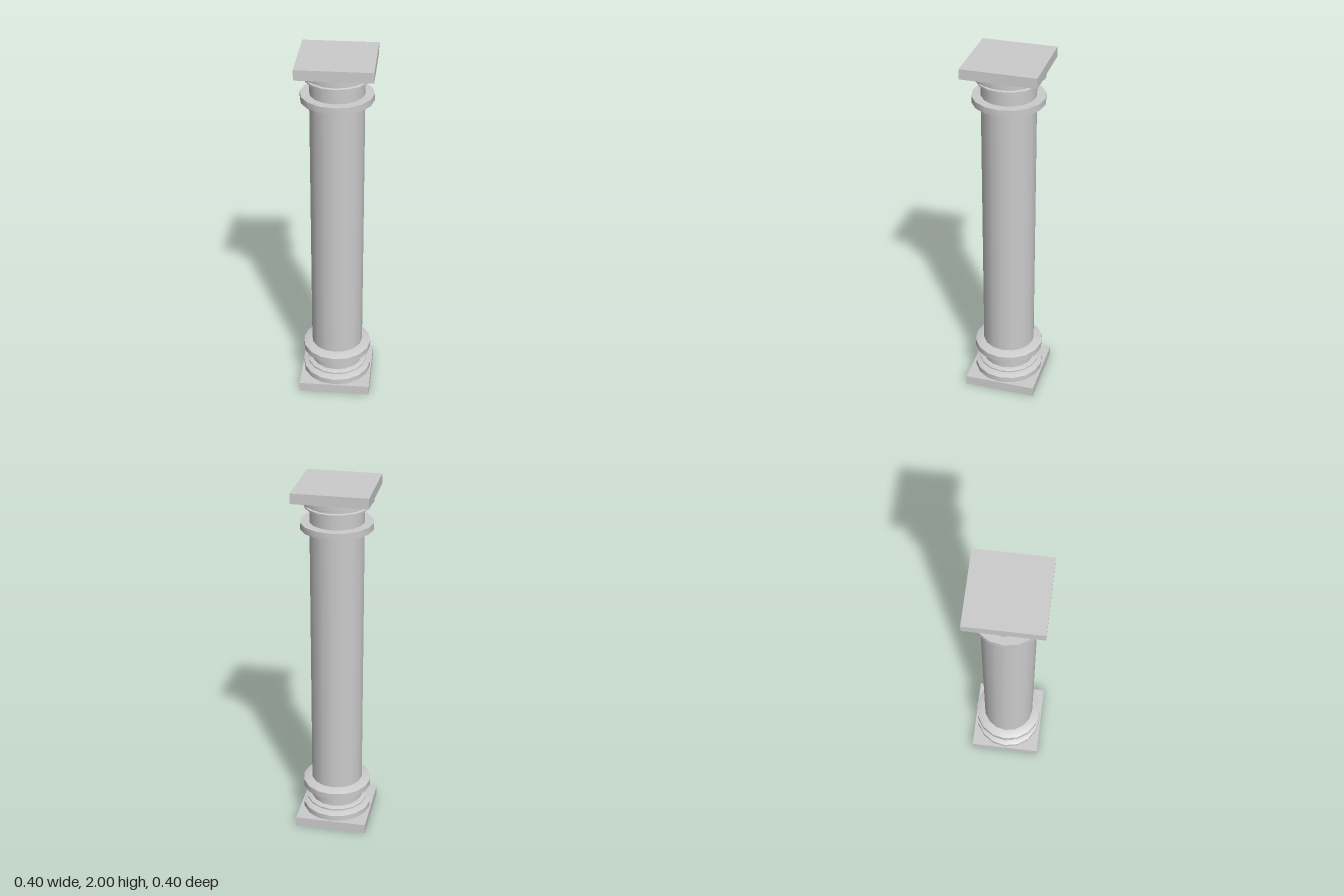
import * as THREE from 'three';
import { toCreasedNormals } from 'three/addons/utils/BufferGeometryUtils.js';

const SIDES = 16;
const SHAFT_RADIUS = 0.145;
const material = new THREE.MeshStandardMaterial({ color: 0xcccccc });

function addMesh(parent, name, geometry) {
  const mesh = new THREE.Mesh(geometry, material);
  mesh.name = name;
  parent.add(mesh);
  return mesh;
}

// Turned moulding from [radius, height] pairs listed bottom to top
function turned(profile) {
  const points = profile.map(([r, y]) => new THREE.Vector2(r, y));
  return toCreasedNormals(new THREE.LatheGeometry(points, SIDES), 0.5);
}

// Square slab with its mouldings; used upright as base, flipped as capital
function createEnd(name) {
  const end = new THREE.Group();
  end.name = name;

  addMesh(end, 'squareSlab', new THREE.BoxGeometry(0.4, 0.055, 0.4)).position.y = 0.0275;

  // Wide ring resting on the slab, bevelled towards the shaft
  addMesh(end, 'slabRing', turned([
    [0.14, 0.055], [0.193, 0.055], [0.193, 0.087], [0.16, 0.1], [0.14, 0.1],
  ]));

  // Thin lip with a recessed neck below it
  addMesh(end, 'thinLip', turned([
    [0.158, 0.098], [0.158, 0.108], [0.17, 0.111], [0.17, 0.119], [0.15, 0.127], [0.14, 0.127],
  ]));

  // Collar: flat on the slab side, bevelled on the shaft side
  addMesh(end, 'collarRing', turned([
    [0.14, 0.2], [0.193, 0.2], [0.193, 0.236], [0.15, 0.252], [0.14, 0.252],
  ]));
  return end;
}

export function createModel() {
  const column = new THREE.Group();
  column.name = 'column';

  const shaft = addMesh(column, 'shaft',
    new THREE.CylinderGeometry(SHAFT_RADIUS, SHAFT_RADIUS, 1.9, SIDES, 1, true));
  shaft.position.y = 1;

  column.add(createEnd('base'));

  const capital = createEnd('capital');
  capital.rotation.x = Math.PI;
  capital.position.y = 2;
  column.add(capital);

  return column;
}
